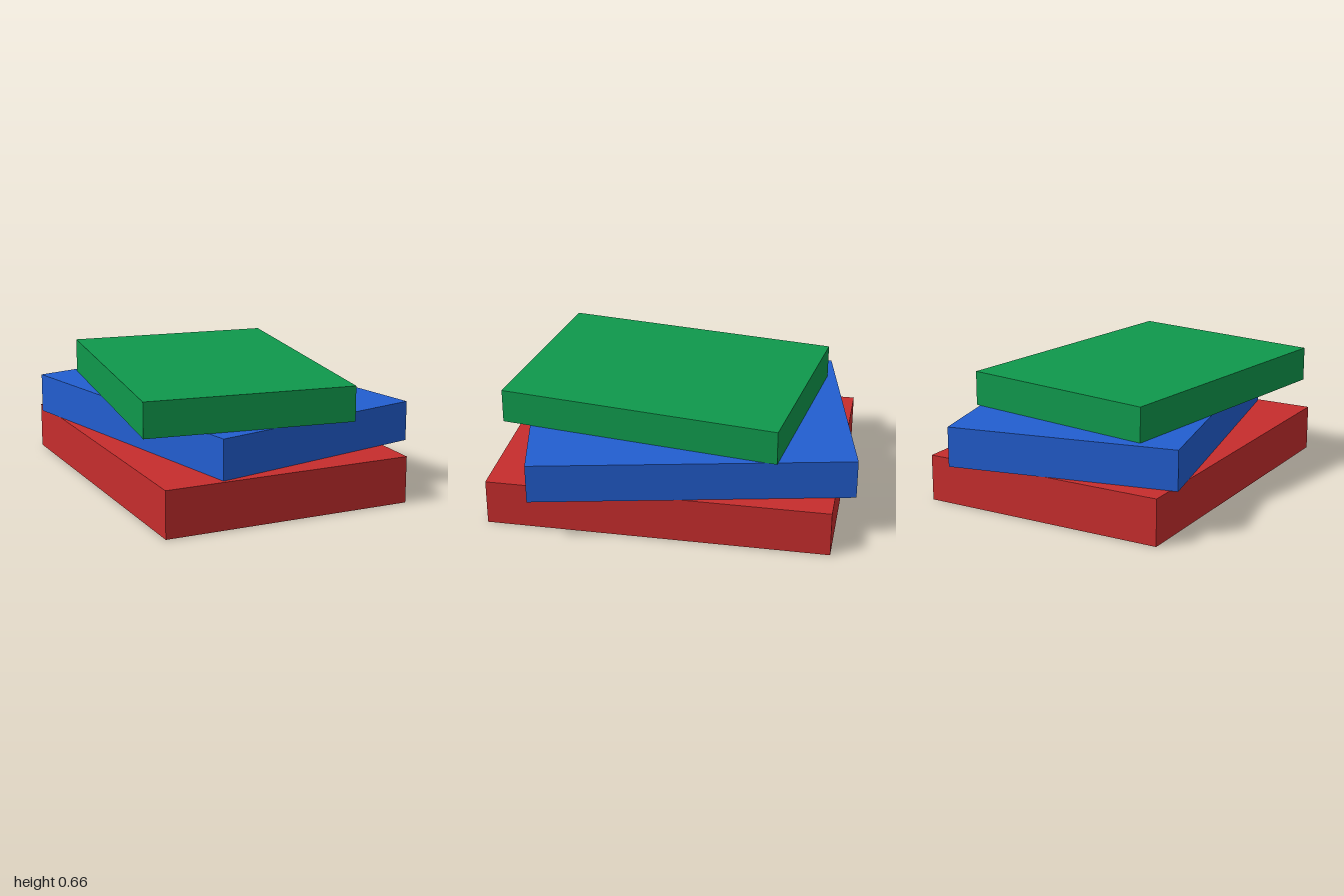
import * as THREE from 'three';

// Stack of three plain slabs, each turned a little differently.
export function createModel() {
  const model = new THREE.Group();
  model.name = 'slabStack';

  const material = (name, color) => {
    const m = new THREE.MeshStandardMaterial({ color });
    m.name = name;
    return m;
  };

  // size: width, height, depth; base: x, bottom y, z; turn: about y
  const slabs = [
    { name: 'bottomSlab', mat: material('red', 0xc62d2d), size: [1.385, 0.254, 1.89], base: [-0.065, 0, 0.055], turn: 0 },
    { name: 'middleSlab', mat: material('blue', 0x225ed0), size: [1.257, 0.219, 1.759], base: [-0.001, 0.253, -0.01], turn: 0.209 },
    { name: 'topSlab', mat: material('green', 0x0f984c), size: [1.131, 0.19, 1.572], base: [-0.127, 0.473, 0.118], turn: -0.139 },
  ];

  for (const { name, mat, size, base, turn } of slabs) {
    const slab = new THREE.Mesh(new THREE.BoxGeometry(...size), mat);
    slab.name = name;
    slab.position.set(base[0], base[1] + size[1] / 2, base[2]);
    slab.rotation.y = turn;
    model.add(slab);
  }
  return model;
}
